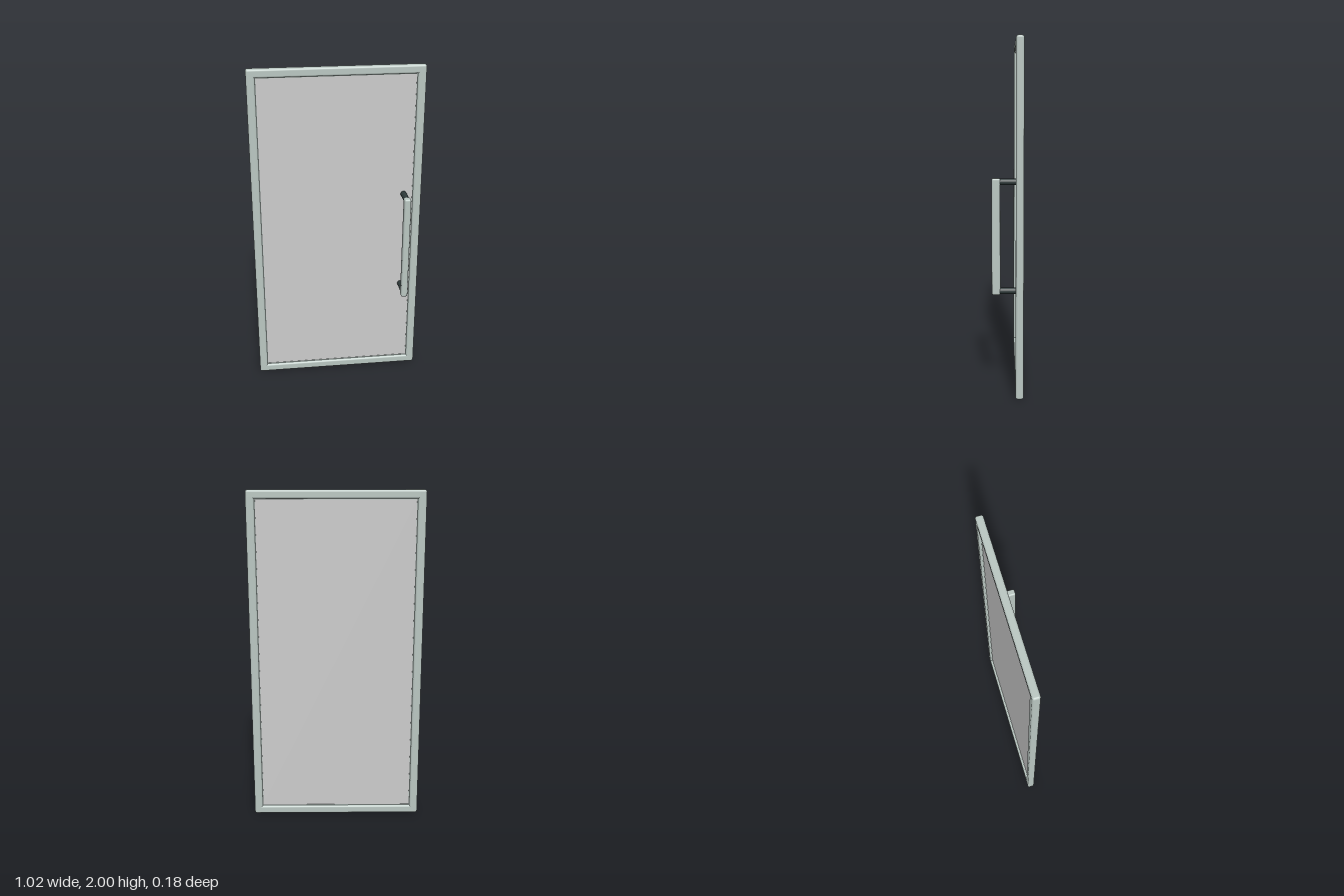
import * as THREE from 'three';
import { RoundedBoxGeometry } from 'three/addons/geometries/RoundedBoxGeometry.js';

const W = 1.02, H = 2, BAR = 0.05, DEPTH = 0.044, DOOR_Z = -0.068;
const HANDLE_X = 0.403;

export function createModel() {
  const door = new THREE.Group();
  door.name = 'glassDoor';

  const metal = new THREE.MeshStandardMaterial({ color: 0xb9c6c1 });
  const dark = new THREE.MeshStandardMaterial({ color: 0x2f3b3b });
  const glass = new THREE.MeshStandardMaterial({ color: 0xcccccc });

  const add = (name, geometry, material, x, y, z) => {
    const mesh = new THREE.Mesh(geometry, material);
    mesh.name = name;
    mesh.position.set(x, y, z);
    door.add(mesh);
    return mesh;
  };
  const bar = (w, h, d, r) => new RoundedBoxGeometry(w, h, d, 4, r);

  // Frame: two uprights and two rails with softened edges
  for (const [side, s] of [['left', 1], ['right', -1]]) {
    add(side + 'Stile', bar(BAR, H, DEPTH, 0.012), metal, s * (W - BAR) / 2, H / 2, DOOR_Z);
  }
  for (const [name, y] of [['topRail', H - BAR / 2], ['bottomRail', BAR / 2]]) {
    add(name, bar(W, BAR, DEPTH, 0.012), metal, 0, y, DOOR_Z);
  }

  // Thin seal running round the inside of the frame
  const rect = (path, w, h) => path.moveTo(-w / 2, -h / 2).lineTo(w / 2, -h / 2)
    .lineTo(w / 2, h / 2).lineTo(-w / 2, h / 2).closePath();
  const innerW = W - 2 * BAR, innerH = H - 2 * BAR;
  const ring = rect(new THREE.Shape(), innerW + 0.01, innerH + 0.01);
  ring.holes.push(rect(new THREE.Path(), innerW - 0.008, innerH - 0.008));
  const seal = new THREE.ExtrudeGeometry(ring, { depth: 0.016, bevelEnabled: false });
  seal.translate(0, 0, -0.008);
  add('seal', seal, metal, 0, H / 2, DOOR_Z);

  // Glass pane
  add('pane', new THREE.BoxGeometry(innerW, innerH, 0.012), glass, 0, H / 2, DOOR_Z);

  // Pull handle: rounded grip on two dark round standoffs
  add('handleGrip', bar(0.04, 0.656, 0.048, 0.01), metal, HANDLE_X, 0.907, 0.063);
  for (const [name, y] of [['upperStandoff', 1.215], ['lowerStandoff', 0.6]]) {
    const post = add(name, new THREE.CylinderGeometry(0.018, 0.018, 0.11, 24), dark, HANDLE_X, y, -0.003);
    post.rotation.x = Math.PI / 2;
  }

  return door;
}
